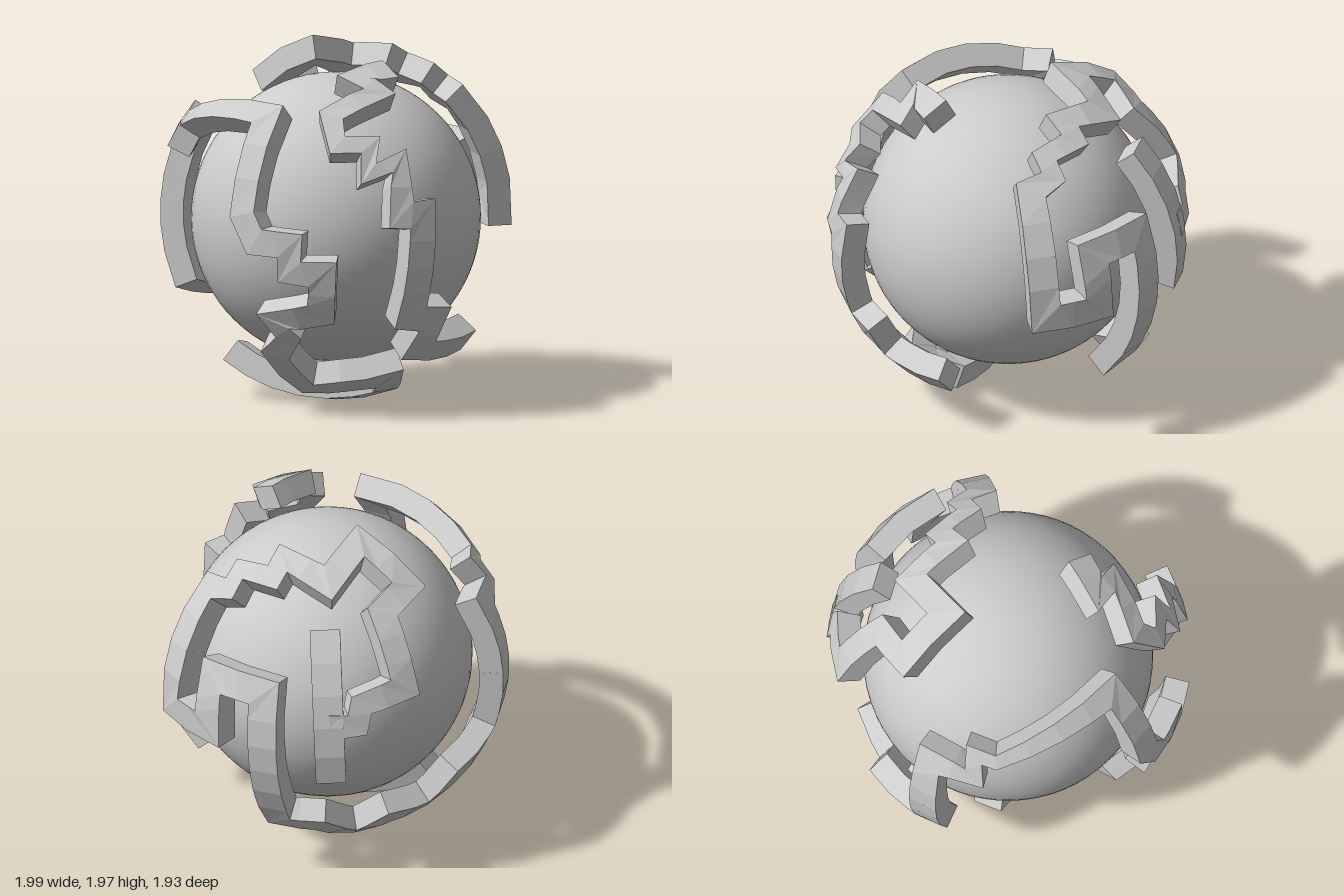
import * as THREE from 'three';

const INNER = 0.865, OUTER = 1.0;

// Square-section band along great-circle legs between directions [x, y, z, own half width], with mitred corners
function band(half, points) {
  const dirs = points.map((p) => new THREE.Vector3(p[0], p[1], p[2]).normalize());
  const halves = points.map((p) => p[3] ?? half);
  const path = [dirs[0]], widths = [halves[0]];
  for (let i = 1; i < dirs.length; i++) {
    const a = dirs[i - 1], b = dirs[i], angle = a.angleTo(b);
    const n = Math.ceil(angle / 0.2);
    for (let k = 1; k <= n; k++) {
      const t = k / n;
      path.push(a.clone().multiplyScalar(Math.sin((1 - t) * angle))
        .addScaledVector(b, Math.sin(t * angle)).normalize());
      widths.push(THREE.MathUtils.lerp(halves[i - 1], halves[i], t));
    }
  }
  // sideways direction of a leg, measured at point p
  const side = (p, from, to) => p.clone().cross(to.clone().sub(from)).normalize();
  const rings = path.map((p, i) => {
    const sIn = i > 0 ? side(p, path[i - 1], p) : null;
    const sOut = i < path.length - 1 ? side(p, p, path[i + 1]) : null;
    const s = (sIn || sOut).clone().add(sOut || sIn).normalize();
    const mitre = Math.min(1 / Math.max(s.dot(sIn || sOut), 0.1), 1.5) * widths[i];
    return [[OUTER, 1], [OUTER, -1], [INNER, -1], [INNER, 1]].map(([r, k]) =>
      p.clone().multiplyScalar(r).addScaledVector(s, k * mitre));
  });
  const pos = [];
  const quad = (a, b, c, d) => [a, b, c, a, c, d].forEach((v) => pos.push(v.x, v.y, v.z));
  for (let i = 0; i < rings.length - 1; i++) {
    const p = rings[i], q = rings[i + 1];
    for (let j = 0; j < 4; j++) {
      const k = (j + 1) % 4;
      quad(p[j], p[k], q[k], q[j]);
    }
  }
  const [a, b, c, d] = rings[0];
  quad(a, d, c, b);
  quad(...rings[rings.length - 1]);
  const geo = new THREE.BufferGeometry();
  geo.setAttribute('position', new THREE.Float32BufferAttribute(pos, 3));
  geo.computeVertexNormals();
  return geo;
}

export function createModel() {
  const group = new THREE.Group();
  const smooth = new THREE.MeshStandardMaterial({ color: 0xcccccc });
  const flat = new THREE.MeshStandardMaterial({ color: 0xcccccc, flatShading: true });
  const add = (name, geo, mat) => {
    const mesh = new THREE.Mesh(geo, mat);
    mesh.name = name;
    mesh.position.y = 1;
    group.add(mesh);
  };

  add('coreSphere', new THREE.SphereGeometry(0.795, 64, 40), smooth);

  // Side strip with two free ends
  add('sideStrip', band(0.083, [[0.63, 0.64, -0.39], [0.80, -0.21, -0.54]]), flat);

  // Branch off the side strip, stepping over the top
  add('topBand', band(0.075, [
    [0.78, 0.15, -0.52], [0.70, 0.16, -0.64, 0.065], [0.67, 0.27, -0.65, 0.065],
    [0.46, 0.32, -0.79], [0.37, 0.68, -0.59], [0.15, 0.75, -0.62],
    [0.15, 0.92, -0.31], [0.46, 0.82, -0.30], [0.45, 0.86, -0.01, 0.065],
    [0.56, 0.80, -0.01, 0.06], [0.56, 0.78, 0.2, 0.055], [0.65, 0.70, 0.21, 0.055],
    [0.63, 0.66, 0.35], [0.77, 0.33, 0.405, 0.083],
  ]), flat);

  // Hook on the side, then a zigzag round the lower back
  add('hookBand', band(0.083, [
    [0.77, 0.33, 0.405], [0.87, -0.01, 0.44], [0.96, -0.01, 0.145], [0.92, 0.31, 0.15],
    [0.91, 0.31, -0.18], [0.745, -0.62, -0.17], [0.65, -0.61, -0.37, 0.07],
    [0.41, -0.77, -0.44, 0.07], [0.39, -0.61, -0.65, 0.07], [0.12, -0.65, -0.72, 0.07],
    [0.04, -0.45, -0.86, 0.075], [-0.35, -0.37, -0.84], [-0.33, 0.04, -0.84],
  ]), flat);

  // Back strip and the long bar over the far side
  add('backBand', band(0.075, [
    [-0.33, 0.04, -0.84, 0.083], [-0.30, 0.45, -0.81], [-0.53, 0.43, -0.69, 0.055],
    [-0.47, 0.57, -0.64, 0.05], [-0.57, 0.54, -0.57, 0.045], [-0.69, 0.65, 0.14],
    [-0.94, 0.15, 0.18], [-0.92, 0.01, 0.26], [-0.84, 0.0, 0.44, 0.07],
    [-0.83, -0.14, 0.43, 0.065], [-0.74, -0.15, 0.58], [-0.725, -0.27, 0.56],
  ]), flat);

  // Steps down the far side and along the underside
  add('undersideBand', band(0.075, [
    [-0.725, -0.27, 0.56], [-0.71, -0.38, 0.54], [-0.82, -0.43, 0.29, 0.065],
    [-0.75, -0.53, 0.34, 0.06], [-0.70, -0.64, 0.20], [-0.42, -0.86, 0.18],
    [-0.34, -0.84, 0.36], [-0.16, -0.79, 0.53], [-0.03, -0.88, 0.38],
    [-0.15, -0.95, 0.10, 0.083], [-0.36, -0.78, -0.45, 0.083],
  ]), flat);

  // Front band: top hook, zigzag, tall strip and foot
  add('frontBand', band(0.08, [
    [-0.06, 0.84, 0.44], [-0.28, 0.83, 0.40, 0.07], [-0.24, 0.76, 0.53, 0.06],
    [-0.53, 0.66, 0.45, 0.06], [-0.59, 0.52, 0.55, 0.05], [-0.46, 0.52, 0.67, 0.05],
    [-0.53, 0.38, 0.72, 0.05], [-0.36, 0.44, 0.79, 0.055], [-0.42, 0.16, 0.86, 0.07],
    [-0.31, 0.16, 0.92], [-0.31, -0.42, 0.83], [-0.15, -0.44, 0.86],
    [-0.15, -0.63, 0.74], [0.31, -0.64, 0.69],
  ]), flat);

  return group;
}
